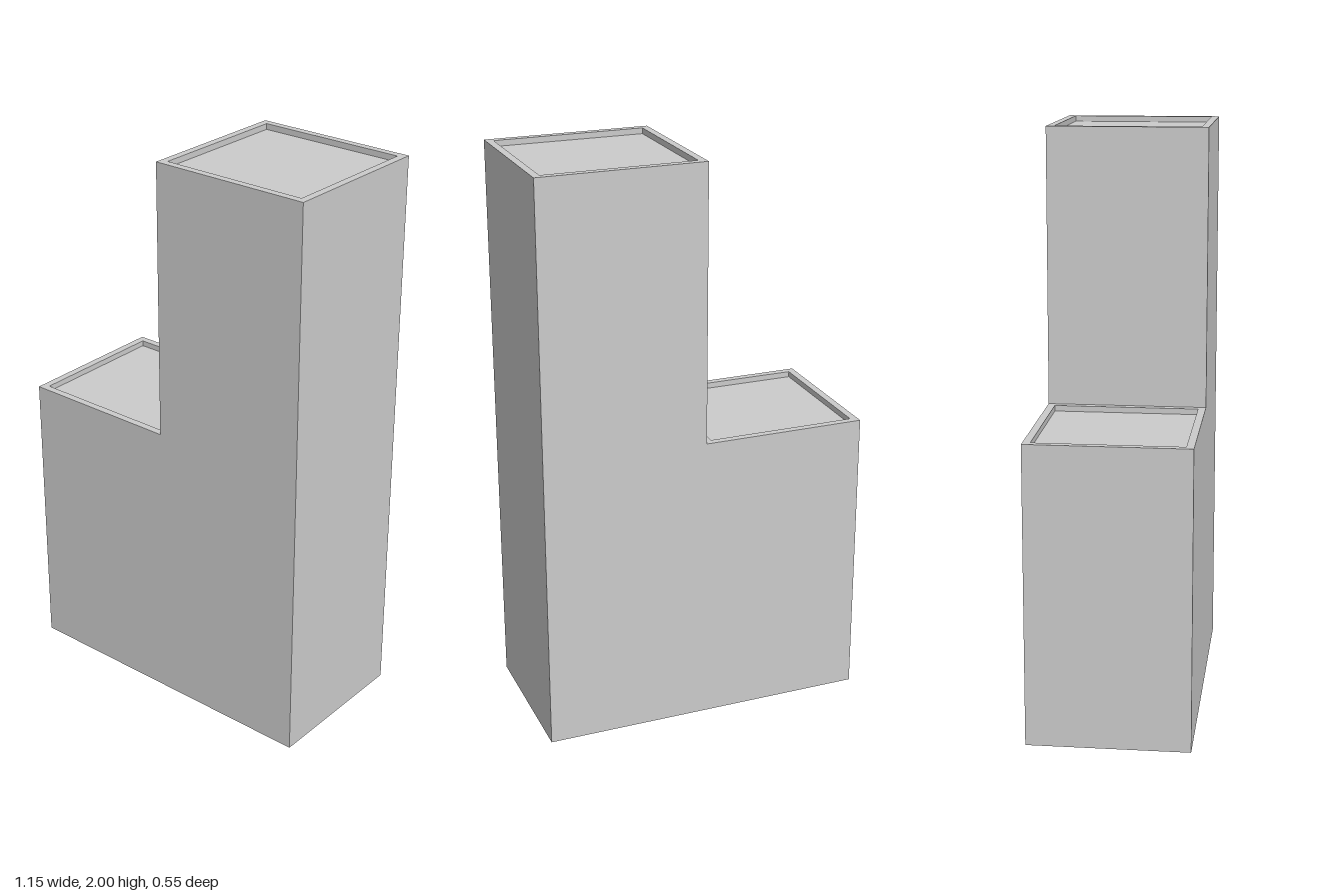
import * as THREE from 'three';

const DEPTH = 0.277, WIDTH = 0.576, RIM = 0.026, RECESS = 0.02;
const LOW = 1.035, HIGH = 2;

// Four corners, counter-clockwise from above, starting at the front left of the drawing plane
const ring = (x0, x1, y, inset = 0) => [
  [x0 + inset, y, DEPTH - inset], [x1 - inset, y, DEPTH - inset],
  [x1 - inset, y, -DEPTH + inset], [x0 + inset, y, -DEPTH + inset],
];

// Square column with a recessed top; sharedSide is the wall touching its neighbour, exposed above sharedBase
function column(name, x0, x1, height, sharedSide, sharedBase) {
  const pos = [];
  const quad = (a, b, c, d) => pos.push(...a, ...b, ...c, ...a, ...c, ...d);
  const rings = [
    ring(x0, x1, 0),
    ring(x0, x1, height),
    ring(x0, x1, height, RIM),
    ring(x0, x1, height - RECESS, RIM),
  ];
  for (let r = 0; r < 3; r++) {
    for (let i = 0; i < 4; i++) {
      const j = (i + 1) % 4;
      let lower = rings[r];
      if (r === 0 && i === sharedSide) {
        if (sharedBase >= height) continue;
        lower = ring(x0, x1, sharedBase);
      }
      quad(lower[i], lower[j], rings[r + 1][j], rings[r + 1][i]);
    }
  }
  quad(...rings[3]); // recessed panel
  quad(...[...rings[0]].reverse()); // underside

  const geometry = new THREE.BufferGeometry();
  geometry.setAttribute('position', new THREE.Float32BufferAttribute(pos, 3));
  geometry.computeVertexNormals();
  const mesh = new THREE.Mesh(geometry, new THREE.MeshStandardMaterial({ color: 0xcccccc, flatShading: true }));
  mesh.name = name;
  return mesh;
}

export function createModel() {
  const group = new THREE.Group();
  group.name = 'steppedBuilding';
  group.add(
    column('lowBlock', -WIDTH, 0, LOW, 1, LOW),
    column('tower', 0, WIDTH, HIGH, 3, LOW),
  );
  return group;
}
